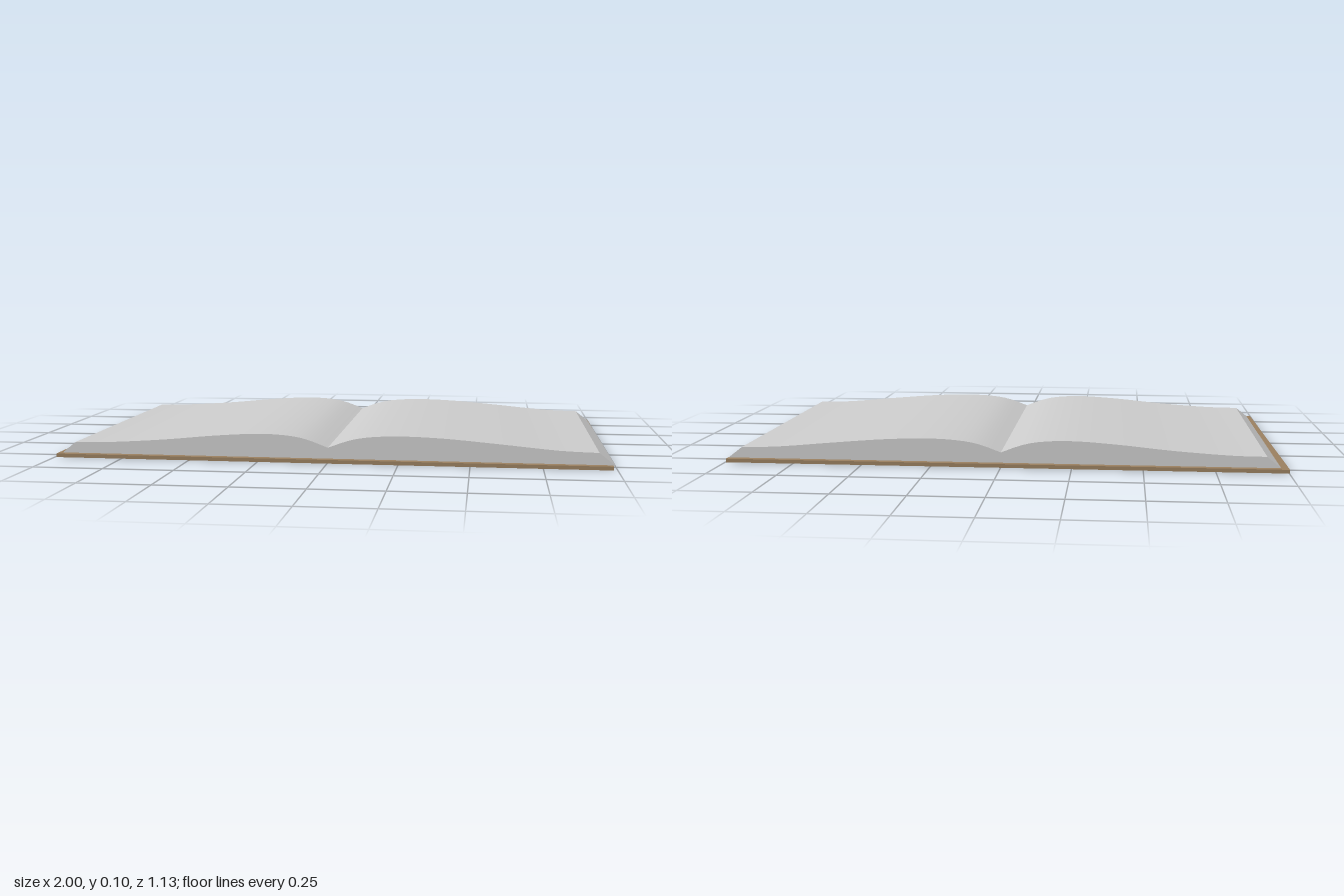
import * as THREE from 'three';
import { toCreasedNormals } from 'three/addons/utils/BufferGeometryUtils.js';

const spline = (pts, n) => new THREE.SplineCurve(pts.map(([x, y]) => new THREE.Vector2(x, y))).getPoints(n);

export function createModel() {
  const book = new THREE.Group();
  book.name = 'openBook';
  const paper = new THREE.MeshStandardMaterial({ color: 0xcccccc });
  const leather = new THREE.MeshStandardMaterial({ color: 0x997f5f });

  // Page block: two curved page tops meeting in a gutter, with bevelled outer edges
  const left = spline([[-0.925, 0.055], [-0.8, 0.057], [-0.6, 0.07], [-0.4, 0.089],
    [-0.23, 0.098], [-0.1, 0.087], [0, 0.053]], 24);
  const right = spline([[0, 0.053], [0.1, 0.086], [0.23, 0.098], [0.4, 0.094],
    [0.6, 0.078], [0.8, 0.06], [0.94, 0.055]], 24);
  const profile = [new THREE.Vector2(-0.975, 0.008), new THREE.Vector2(-0.972, 0.018),
    ...left, ...right.slice(1), new THREE.Vector2(0.995, 0.012), new THREE.Vector2(0.99, 0.008)];
  const front = 0.535, back = -0.545;
  let pageGeo = new THREE.ExtrudeGeometry(new THREE.Shape(profile.reverse()),
    { depth: front - back, bevelEnabled: false });
  pageGeo.translate(0, 0, back);
  pageGeo = toCreasedNormals(pageGeo, 0.35);
  const pages = new THREE.Mesh(pageGeo, paper);
  pages.name = 'pages';
  book.add(pages);

  // Cover: a thin board, slightly warped towards its front left corner
  const coverGeo = new THREE.BoxGeometry(2, 0.013, 1.14, 16, 1, 8);
  const pos = coverGeo.attributes.position;
  for (let i = 0; i < pos.count; i++) {
    const x = pos.getX(i), z = pos.getZ(i), f = z / 1.14 + 0.5;
    const lift = 0.003 * (1 - f) + 0.001 * (1 - x) * f;
    pos.setX(i, x - (x > 0 ? 0.008 + 0.005 * f : -0.01 * f));
    pos.setY(i, pos.getY(i) + 0.0065 + lift);
    pos.setZ(i, z - (z > 0 ? 0.008 : 0));
  }
  const cover = new THREE.Mesh(toCreasedNormals(coverGeo, 0.5), leather);
  cover.name = 'cover';
  book.add(cover);

  return book;
}
